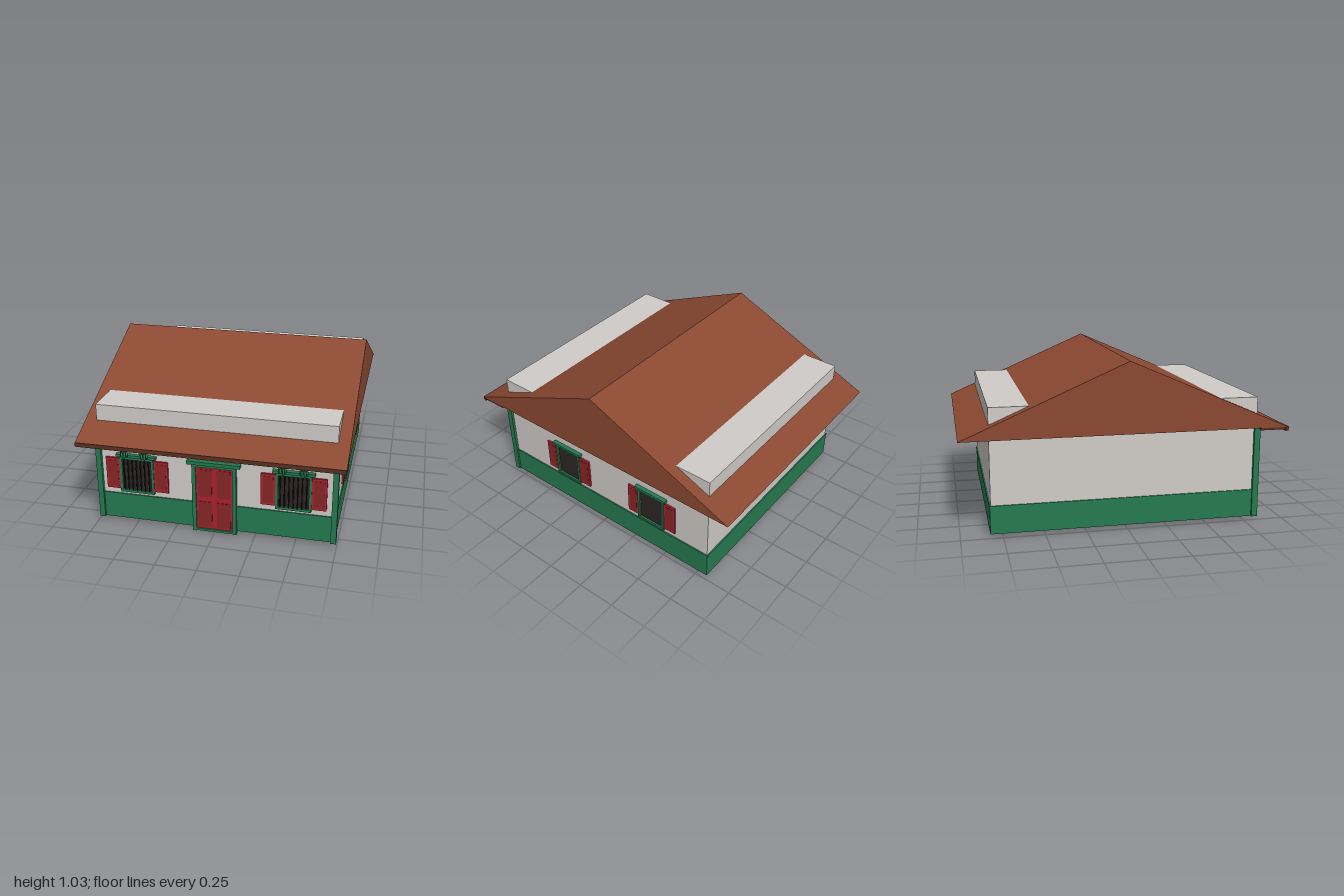
import * as THREE from 'three';

const mat = (name, color) => {
  const m = new THREE.MeshStandardMaterial({ color });
  m.name = name;
  return m;
};

export function createModel() {
  const wall = mat('wall plaster', 0xd0ccc8);
  const roofMat = mat('roof tile', 0x8c4932);
  const wood = mat('eave wood', 0x5a3222);
  const green = mat('green paint', 0x267a50);
  const red = mat('red paint', 0xac2130);
  const darkRed = mat('red panel', 0x872525);
  const glass = mat('dark glass', 0x2f2626);
  const iron = mat('iron', 0x161816);
  const clay = mat('clay', 0x8a4030);

  const house = new THREE.Group();
  house.name = 'house';

  const add = (parent, name, geometry, material, x = 0, y = 0, z = 0) => {
    const m = new THREE.Mesh(geometry, material);
    m.name = name;
    m.position.set(x, y, z);
    parent.add(m);
    return m;
  };
  // Box given by its lower and upper limits
  const box = (parent, name, material, x0, x1, y0, y1, z0, z1) =>
    add(parent, name, new THREE.BoxGeometry(x1 - x0, y1 - y0, z1 - z0), material,
      (x0 + x1) / 2, (y0 + y1) / 2, (z0 + z1) / 2);

  // Walls rise through the roof slopes
  box(house, 'walls', wall, -0.73, 0.73, 0.02, 0.78, -0.82, 0.82);
  box(house, 'wainscot', green, -0.735, 0.735, 0.021, 0.187, -0.825, 0.825);
  box(house, 'wainscotTrim', green, -0.738, 0.738, 0.184, 0.194, -0.828, 0.828);
  for (const s of [-1, 1]) {
    add(house, 'cornerPost', new THREE.BoxGeometry(0.034, 0.58, 0.038), green, s * 0.729, 0.31, 0.821);
  }

  // Gabled roof, ridge along x
  const gable = new THREE.Shape([
    new THREE.Vector2(-0.998, 0.6), new THREE.Vector2(0.998, 0.6), new THREE.Vector2(0, 1.033),
  ]);
  const roofGeo = new THREE.ExtrudeGeometry(gable, { depth: 1.6, bevelEnabled: false });
  roofGeo.translate(0, 0, -0.8).rotateY(Math.PI / 2);
  add(house, 'roof', roofGeo, roofMat);

  // Front eave: fascia board and rafters
  box(house, 'fascia', wood, -0.8, 0.8, 0.576, 0.602, 0.98, 1);
  for (let i = 0; i <= 32; i++) {
    const x = -0.785 + i * (1.57 / 32);
    box(house, 'rafter', wood, x - 0.012, x + 0.012, 0.585, 0.602, 0.82, 0.985);
  }

  // Door with four sunken-colour panels
  const door = new THREE.Group();
  door.name = 'door';
  house.add(door);
  for (const s of [-1, 1]) {
    add(door, 'doorJamb', new THREE.BoxGeometry(0.024, 0.452, 0.03), green, s * 0.125, 0.226, 0.826);
    for (const [y0, y1] of [[0.03, 0.205], [0.24, 0.425]]) {
      add(door, 'doorPanel', new THREE.BoxGeometry(0.086, y1 - y0, 0.004), darkRed, s * 0.058, (y0 + y1) / 2, 0.833);
    }
  }
  box(door, 'doorHead', green, -0.137, 0.137, 0.44, 0.455, 0.811, 0.841);
  box(door, 'doorLintel', green, -0.165, 0.162, 0.457, 0.479, 0.811, 0.85);
  box(door, 'doorStep', green, -0.137, 0.137, 0.003, 0.018, 0.811, 0.841);
  box(door, 'doorLeaf', red, -0.114, 0.114, 0.018, 0.441, 0.815, 0.832);

  // Window facing +z, wall surface at z = 0
  const makeWindow = (w, lintelW, shutterW, bars) => {
    const g = new THREE.Group();
    g.name = 'window';
    const h = w / 2;
    box(g, 'pane', glass, -h + 0.01, h - 0.01, 0.225, 0.45, 0, 0.008);
    box(g, 'sill', green, -h, h, 0.215, 0.232, 0, 0.02);
    box(g, 'head', green, -h, h, 0.44, 0.457, 0, 0.02);
    box(g, 'lintel', green, -lintelW / 2, lintelW / 2, 0.456, 0.473, 0, 0.027);
    for (const s of [-1, 1]) {
      add(g, 'frameSide', new THREE.BoxGeometry(0.016, 0.24, 0.018), green, s * (h - 0.008), 0.335, 0.009);
      const x = s * (h + shutterW / 2);
      add(g, 'shutter', new THREE.BoxGeometry(shutterW, 0.208, 0.012), red, x, 0.336, 0.006);
      add(g, 'shutterPanel', new THREE.BoxGeometry(shutterW - 0.028, 0.174, 0.004), darkRed, x, 0.336, 0.0115);
    }
    for (let i = 0; i < bars; i++) {
      const x = -h + 0.016 + (i + 0.5) * (w - 0.032) / bars;
      add(g, 'windowBar', new THREE.CylinderGeometry(0.004, 0.004, 0.21, 6), iron, x, 0.336, 0.02);
    }
    house.add(g);
    return g;
  };

  // Hanging flower pot
  const makePot = (x) => {
    const g = new THREE.Group();
    g.name = 'flowerPot';
    add(g, 'pot', new THREE.CylinderGeometry(0.022, 0.013, 0.036, 12), clay, 0, 0.519, 0);
    add(g, 'hanger', new THREE.CylinderGeometry(0.002, 0.002, 0.05, 5), iron, 0, 0.57, 0);
    for (let i = 0; i < 6; i++) {
      const a = (i / 6) * Math.PI * 2;
      const c = Math.cos(a), s = Math.sin(a);
      add(g, 'flower', new THREE.SphereGeometry(0.011, 8, 6), red, c * 0.016, 0.547, s * 0.016);
      const leaf = add(g, 'leaf', new THREE.SphereGeometry(0.008, 8, 6), green, c * 0.018, 0.492, s * 0.018);
      leaf.scale.set(1, i % 2 ? 3.2 : 2.4, 1);
    }
    add(g, 'flower', new THREE.SphereGeometry(0.012, 8, 6), red, 0, 0.553, 0);
    g.position.set(x, 0, 0.867);
    house.add(g);
  };

  // Barred front windows, each with two pots above
  for (const x of [-0.487, 0.482]) {
    makeWindow(0.216, 0.252, 0.09, 7).position.set(x, 0, 0.82);
    for (const d of [-0.063, 0.063]) makePot(x + d);
  }

  // Plain windows on the left wall
  for (const z of [0.293, -0.4]) {
    const w = makeWindow(0.2, 0.235, 0.082, 0);
    w.rotation.y = Math.PI / 2;
    w.position.set(0.73, 0, z);
  }

  return house;
}
